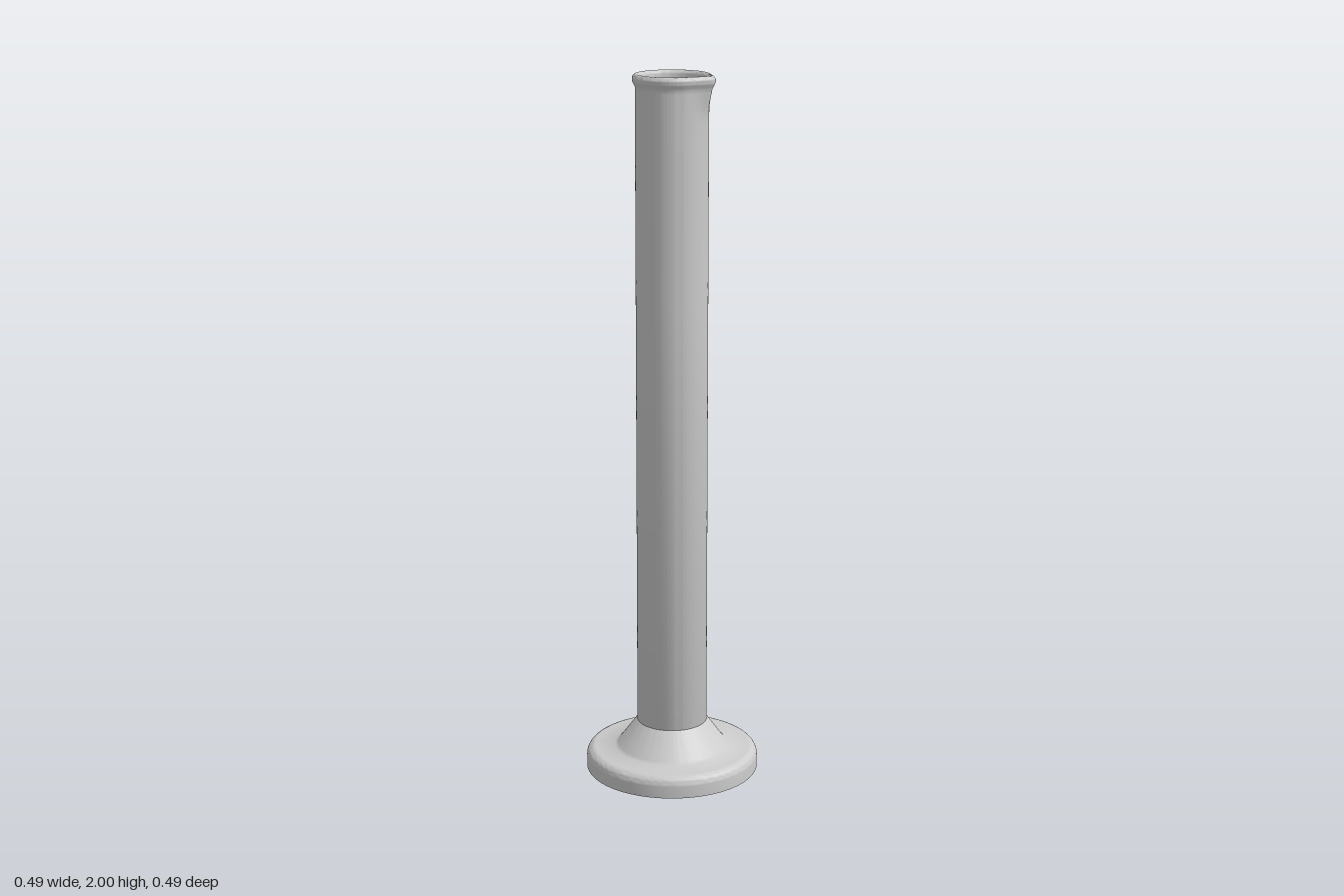
import * as THREE from 'three';
import { mergeVertices, toCreasedNormals } from 'three/addons/utils/BufferGeometryUtils.js';

const material = new THREE.MeshStandardMaterial({ color: 0xcccccc });
const SPOUT_ANGLE = 0.67; // direction of the pouring lip, from +x towards +z
const SPOUT_HALF = 0.654; // half angle the lip spans

// Revolve [radius, height] pairs, optionally move the vertices, then smooth all but sharp edges
function revolve(name, profile, deform) {
  let geo = new THREE.LatheGeometry(profile.map(([r, y]) => new THREE.Vector2(r, y)), 128);
  if (deform) deform(geo.attributes.position);
  geo.deleteAttribute('normal');
  geo.deleteAttribute('uv');
  geo = toCreasedNormals(mergeVertices(geo, 1e-5), 0.6);
  const mesh = new THREE.Mesh(geo, material);
  mesh.name = name;
  return mesh;
}

// Points on a quarter-style arc, used for the rounded edges
function arc(cx, cy, rx, ry, from, to, steps) {
  return Array.from({ length: steps + 1 }, (_, i) => {
    const t = from + (to - from) * i / steps;
    return [cx + rx * Math.cos(t), cy + ry * Math.sin(t)];
  });
}

// Push the mouth outward to two straight sides meeting at a rounded tip, fading down the wall
function pullSpout(pos) {
  for (let i = 0; i < pos.count; i++) {
    const x = pos.getX(i), y = pos.getY(i), z = pos.getZ(i);
    const r = Math.hypot(x, z);
    if (r < 0.07 || y < 1.4) continue;
    let d = Math.atan2(z, x) - SPOUT_ANGLE;
    d = Math.atan2(Math.sin(d), Math.cos(d));
    const s = Math.sqrt(d * d + 0.005);
    if (s >= SPOUT_HALF) continue;
    const bulge = 0.108 * (1 / Math.cos(SPOUT_HALF - s) - 1);
    const near = THREE.MathUtils.smoothstep(y, 1.88, 1.985);
    const far = THREE.MathUtils.clamp((y - 1.45) / 0.5, 0, 1);
    const inner = r < 0.095 ? 1.3 : 1;
    const k = 1 + bulge * inner * (0.9 * near + 0.1 * far) / r;
    pos.setX(i, x * k);
    pos.setZ(i, z * k);
  }
}

export function createModel() {
  const group = new THREE.Group();
  group.name = 'measuringCylinder';

  // Tube: closed floor, outer wall, rolled rim, inner wall
  const rows = [1.4, 1.5, 1.6, 1.7, 1.8, 1.86, 1.88, 1.9, 1.92, 1.94, 1.955, 1.965];
  group.add(revolve('tube', [
    [0, 0.08], [0.09, 0.08], [0.097, 0.083], [0.1, 0.09],
    ...rows.map(y => [0.1, y]),
    [0.103, 1.971],
    ...arc(0.098, 1.986, 0.01, 0.014, -0.7, Math.PI, 14),
    [0.088, 1.975],
    ...rows.slice().reverse().map(y => [0.087, y]),
    [0.087, 0.11], [0.083, 0.103], [0, 0.1],
  ], pullSpout));

  // Foot: hollow flange with a sloping collar around the tube
  group.add(revolve('foot', [
    [0.247, 0], [0.247, 0.035],
    ...arc(0.22, 0.035, 0.027, 0.026, 0.2, Math.PI / 2, 8),
    [0.165, 0.063], [0.155, 0.07], [0.104, 0.14], [0.099, 0.144],
    [0.099, 0.115], [0.105, 0.11], [0.145, 0.057], [0.158, 0.05], [0.215, 0.049],
    ...arc(0.215, 0.031, 0.022, 0.018, Math.PI / 2, 0, 6),
    [0.238, 0], [0.247, 0],
  ]));

  return group;
}
